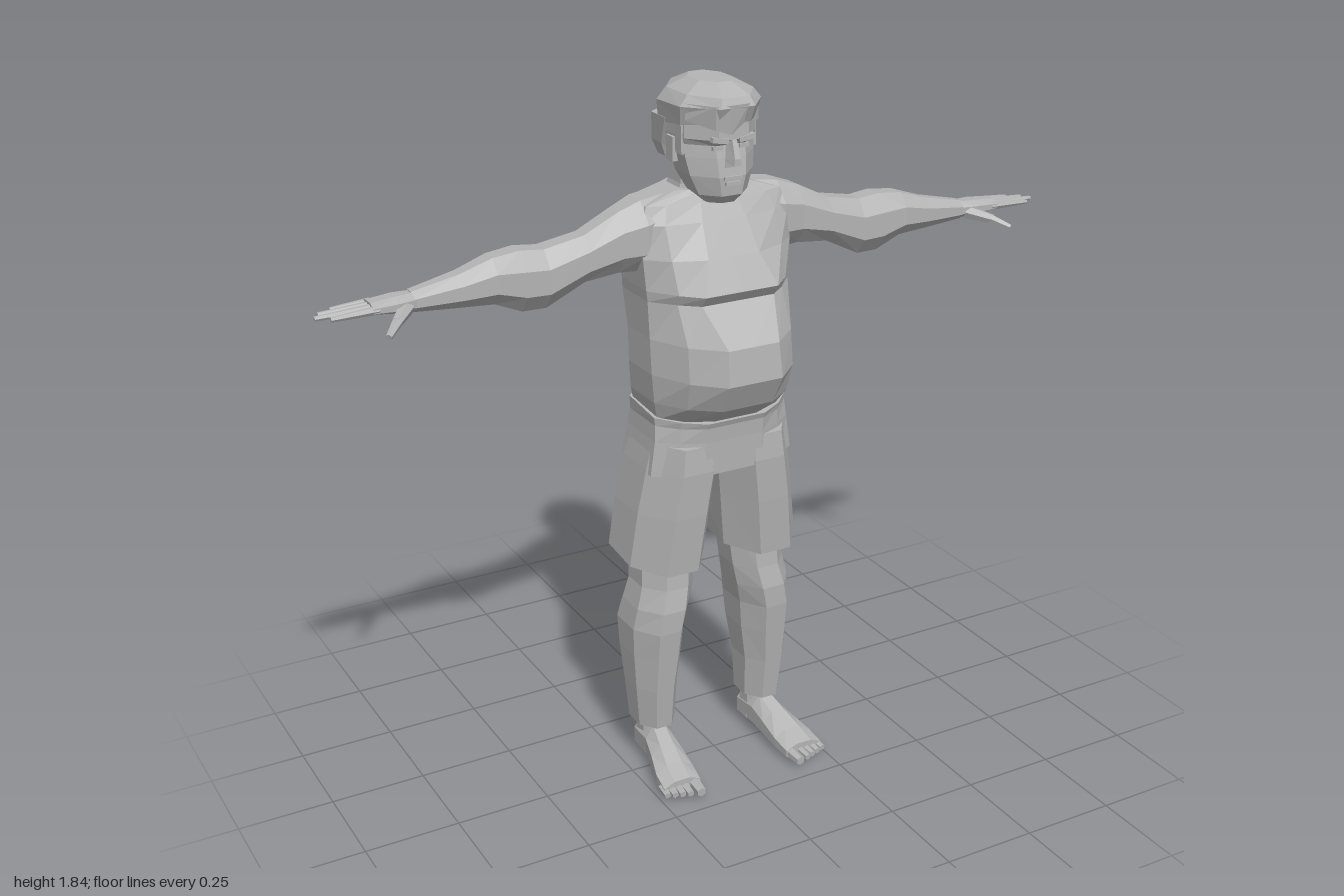
import * as THREE from 'three';

const grey = new THREE.MeshStandardMaterial({ color: 0xb4b4b4, flatShading: true });
grey.name = 'plain grey';

// Skin a list of rings (arrays of [x,y,z]) and close both ends; faces always point outwards.
function loft(name, rings) {
  const n = rings[0].length, pos = [];
  const tri = (a, b, c) => pos.push(...a, ...b, ...c);
  for (let r = 0; r + 1 < rings.length; r++) {
    for (let i = 0; i < n; i++) {
      const j = (i + 1) % n, A = rings[r], B = rings[r + 1];
      tri(A[i], A[j], B[j]);
      tri(A[i], B[j], B[i]);
    }
  }
  const mid = (ring) => [0, 1, 2].map((k) => ring.reduce((s, p) => s + p[k], 0) / n);
  const first = rings[0], last = rings[rings.length - 1];
  for (let i = 0; i < n; i++) {
    const j = (i + 1) % n;
    tri(mid(first), first[j], first[i]);
    tri(mid(last), last[i], last[j]);
  }
  let volume = 0;
  for (let i = 0; i < pos.length; i += 9) {
    const [a, b, c] = [0, 3, 6].map((o) => new THREE.Vector3(pos[i + o], pos[i + o + 1], pos[i + o + 2]));
    volume += a.dot(b.cross(c));
  }
  if (volume < 0) {
    for (let i = 0; i < pos.length; i += 9) {
      for (let k = 3; k < 6; k++) [pos[i + k], pos[i + k + 3]] = [pos[i + k + 3], pos[i + k]];
    }
  }
  const geo = new THREE.BufferGeometry();
  geo.setAttribute('position', new THREE.Float32BufferAttribute(pos, 3));
  geo.computeVertexNormals();
  const mesh = new THREE.Mesh(geo, grey);
  mesh.name = name;
  return mesh;
}

// Eight-sided outline that exactly fills the box u0..u1 by v0..v1.
function octagon(u0, u1, v0, v1) {
  const k = 1 / Math.cos(Math.PI / 8);
  return Array.from({ length: 8 }, (_, i) => {
    const t = (i + 0.5) * Math.PI / 4;
    return [(u0 + u1) / 2 + Math.cos(t) * k * (u1 - u0) / 2, (v0 + v1) / 2 + Math.sin(t) * k * (v1 - v0) / 2];
  });
}
// Sections stacked upwards: [y, x0, x1, z0, z1, forwardTilt]
const stackY = (name, rows) => loft(name, rows.map(([y, x0, x1, z0, z1, tilt = 0]) =>
  octagon(x0, x1, z0, z1).map(([x, z]) => [x, y + tilt * (z - z0) / (z1 - z0), z])));
// Sections along the arm: [x, y0, y1, z0, z1]
const stackX = (name, rows) => loft(name, rows.map(([x, y0, y1, z0, z1]) =>
  octagon(y0, y1, z0, z1).map(([y, z]) => [x, y, z])));
// Sections along the foot: [z, x0, x1, y0, y1]
const stackZ = (name, rows) => loft(name, rows.map(([z, x0, x1, y0, y1]) =>
  octagon(x0, x1, y0, y1).map(([x, y]) => [x, y, z])));

// Body sections: [y, halfWidth, frontZ, backZ, frontPanel, sideZ, forwardTilt]
const body = (name, rows) => loft(name, rows.map(([y, w, f, b, p, s, tilt = 0]) => {
  const bend = b + (f - b) * 0.24;
  const half = [[p, f], [w * 0.74, s + (f - s) * 0.6], [w, s], [w, bend], [w * 0.5, b]];
  const outline = [[0, f], ...half, [0, b], ...half.slice().reverse().map(([x, z]) => [-x, z])];
  return outline.map(([x, z]) => [x, y + tilt * (z - b) / (f - b), z]);
}));

// Tapered rod between two points, for fingers and toes
function rod(name, a, b, ra, rb) {
  const A = new THREE.Vector3(...a), B = new THREE.Vector3(...b), d = B.clone().sub(A);
  const mesh = new THREE.Mesh(new THREE.CylinderGeometry(rb, ra, d.length(), 6), grey);
  mesh.position.copy(A).add(B).multiplyScalar(0.5);
  mesh.quaternion.setFromUnitVectors(new THREE.Vector3(0, 1, 0), d.normalize());
  mesh.name = name;
  return mesh;
}

function block(name, w, h, d, x, y, z, rz = 0) {
  const mesh = new THREE.Mesh(new THREE.BoxGeometry(w, h, d), grey);
  mesh.position.set(x, y, z);
  mesh.rotation.z = rz;
  mesh.name = name;
  return mesh;
}

function makeArm() {
  const arm = new THREE.Group();
  arm.add(stackX('arm', [
    [0.1, 1.42, 1.575, -0.13, 0.01], [0.19, 1.39, 1.565, -0.125, 0.025], [0.25, 1.395, 1.545, -0.1, 0.015],
    [0.34, 1.385, 1.5, -0.098, 0.01], [0.44, 1.335, 1.48, -0.108, 0.005], [0.5, 1.335, 1.485, -0.115, 0.003],
    [0.57, 1.365, 1.478, -0.105, 0], [0.65, 1.37, 1.452, -0.093, -0.008], [0.77, 1.377, 1.426, -0.082, -0.022],
  ]));
  arm.add(stackX('palm', [
    [0.76, 1.38, 1.424, -0.078, -0.022], [0.81, 1.383, 1.424, -0.088, -0.01], [0.87, 1.39, 1.418, -0.088, -0.01],
  ]));
  [[0.95, -0.08, -0.081], [0.985, -0.06, -0.061], [1, -0.039, -0.038], [0.97, -0.019, -0.014]].forEach(([x, z0, z1]) =>
    arm.add(rod('finger', [0.855, 1.404, z0], [x, 1.401, z1], 0.011, 0.006)));
  arm.add(rod('thumbBase', [0.785, 1.395, -0.03], [0.83, 1.382, 0.025], 0.019, 0.013));
  arm.add(rod('thumbTip', [0.825, 1.384, 0.02], [0.863, 1.364, 0.06], 0.013, 0.008));
  arm.name = 'arm';
  return arm;
}

function makeLeg() {
  const leg = new THREE.Group();
  leg.add(stackY('shortsLeg', [
    [0.6 + 0.035, 0.03, 0.245, -0.21, 0.085, -0.035], [0.76, 0.014, 0.226, -0.21, 0.1],
    [0.88, 0, 0.205, -0.195, 0.108], [0.95, 0.01, 0.19, -0.17, 0.105],
  ]));
  leg.add(stackY('lowerLeg', [
    [0.12, 0.11, 0.215, -0.125, 0.02], [0.24, 0.105, 0.226, -0.135, 0.035], [0.34, 0.092, 0.232, -0.16, 0.048],
    [0.42, 0.085, 0.235, -0.17, 0.058], [0.48, 0.072, 0.225, -0.15, 0.06], [0.54, 0.06, 0.21, -0.135, 0.05],
    [0.68, 0.045, 0.205, -0.145, 0.04],
  ]));
  leg.add(stackY('ankle', [[0.03, 0.125, 0.195, -0.112, -0.005], [0.14, 0.13, 0.195, -0.105, -0.018]]));
  leg.add(stackZ('foot', [
    [-0.113, 0.138, 0.185, 0.01, 0.07], [-0.09, 0.125, 0.197, 0, 0.1], [-0.01, 0.126, 0.204, 0, 0.112],
    [0.05, 0.127, 0.218, 0.002, 0.087], [0.11, 0.128, 0.235, 0, 0.062], [0.165, 0.133, 0.24, 0, 0.045],
  ]));
  // five toes, the big one on the inside
  for (let i = 0; i < 5; i++) {
    const r = i === 0 ? 0.017 : 0.012, x = i === 0 ? 0.148 : 0.157 + i * 0.019;
    leg.add(rod('toe', [x, 0.023, 0.14], [x + 0.004, 0.019, 0.207 - i * 0.007], r, r * 0.75));
  }
  leg.name = 'leg';
  return leg;
}

function makeHead() {
  const head = new THREE.Group();
  head.add(stackY('neck', [[1.52, -0.1, 0.1, -0.15, 0.03], [1.59, -0.078, 0.078, -0.135, 0.02], [1.68, -0.07, 0.07, -0.13, 0.02]]));
  head.add(stackY('skull', [
    [1.556, -0.042, 0.042, -0.015, 0.068], [1.578, -0.066, 0.066, -0.055, 0.088], [1.625, -0.086, 0.086, -0.09, 0.092],
    [1.67, -0.094, 0.094, -0.11, 0.086], [1.7, -0.097, 0.097, -0.12, 0.08], [1.715, -0.098, 0.098, -0.13, 0.097],
    [1.78, -0.096, 0.096, -0.13, 0.095],
  ]));
  // wedge nose
  head.add(loft('nose', [
    [[-0.024, 1.645, 0.08], [0.024, 1.645, 0.08], [0.01, 1.655, 0.116], [-0.01, 1.655, 0.116]],
    [[-0.02, 1.665, 0.08], [0.02, 1.665, 0.08], [0.008, 1.672, 0.116], [-0.008, 1.672, 0.116]],
    [[-0.012, 1.715, 0.075], [0.012, 1.715, 0.075], [0.006, 1.715, 0.1], [-0.006, 1.715, 0.1]],
  ]));
  head.add(block('upperLip', 0.048, 0.009, 0.012, 0, 1.622, 0.092), block('lowerLip', 0.04, 0.009, 0.01, 0, 1.609, 0.092));
  for (const s of [-1, 1]) {
    head.add(block('brow', 0.044, 0.012, 0.016, s * 0.036, 1.716, 0.092, s * 0.15));
    head.add(block('eye', 0.026, 0.01, 0.008, s * 0.036, 1.695, 0.081));
    head.add(block('ear', 0.014, 0.06, 0.034, s * 0.098, 1.68, -0.03));
  }
  // hair: swept crown, back and an uneven fringe
  head.add(stackY('hairCrown', [
    [1.725, -0.104, 0.104, -0.165, 0.1, 0.03], [1.785, -0.11, 0.11, -0.167, 0.118, 0.01],
    [1.818, -0.09, 0.088, -0.145, 0.108], [1.843, -0.045, 0.045, -0.09, 0.05],
  ]));
  head.add(stackY('hairBack', [
    [1.645, -0.086, 0.086, -0.152, -0.06], [1.68, -0.1, 0.1, -0.165, -0.045], [1.75, -0.107, 0.107, -0.166, 0],
  ]));
  head.add(loft('fringe', [
    [[-0.1, 1.76, 0.04], [-0.05, 1.742, 0.1], [-0.015, 1.73, 0.11], [0.02, 1.755, 0.108], [0.1, 1.74, 0.04]],
    [[-0.1, 1.8, 0.04], [-0.055, 1.8, 0.108], [-0.015, 1.802, 0.12], [0.03, 1.802, 0.118], [0.1, 1.8, 0.04]],
  ]));
  for (const s of [-1, 1]) head.add(block('sideburn', 0.01, 0.07, 0.03, s * 0.097, 1.71, 0.01));
  head.name = 'head';
  return head;
}

export function createModel() {
  const model = new THREE.Group();
  model.name = 'figure';
  // bare torso with chest ledge and round belly
  model.add(body('torso', [
    [1.015, 0.178, 0.11, -0.16, 0.06, 0.03], [1.065, 0.19, 0.172, -0.17, 0.07, 0.04], [1.14, 0.196, 0.21, -0.176, 0.075, 0.04],
    [1.23, 0.195, 0.2, -0.18, 0.07, 0.03], [1.325, 0.197, 0.122, -0.183, 0.1, 0.025], [1.352, 0.2, 0.142, -0.184, 0.1, 0.025],
    [1.43, 0.205, 0.1, -0.185, 0.07, 0.02], [1.51, 0.205, 0.052, -0.16, 0.06, 0.01], [1.553, 0.185, 0.025, -0.145, 0.05, 0],
    [1.58, 0.1, 0.012, -0.13, 0.04, -0.01],
  ]));
  // shorts seat and waistband
  model.add(body('shortsSeat', [
    [0.87, 0.203, 0.105, -0.195, 0.08, 0.04], [0.96, 0.19, 0.108, -0.18, 0.08, 0.04], [1.005, 0.186, 0.112, -0.168, 0.08, 0.035],
  ]));
  model.add(body('waistband', [
    [1, 0.186, 0.114, -0.168, 0.08, 0.035], [1.045, 0.189, 0.12, -0.168, 0.08, 0.035, -0.03],
  ]));
  model.add(makeHead());
  // limbs: the rings are mirrored by a negative scale
  for (const s of [1, -1]) {
    for (const limb of [makeArm(), makeLeg()]) {
      limb.name = (s > 0 ? 'left ' : 'right ') + limb.name;
      limb.scale.x = s;
      model.add(limb);
    }
  }
  return model;
}
